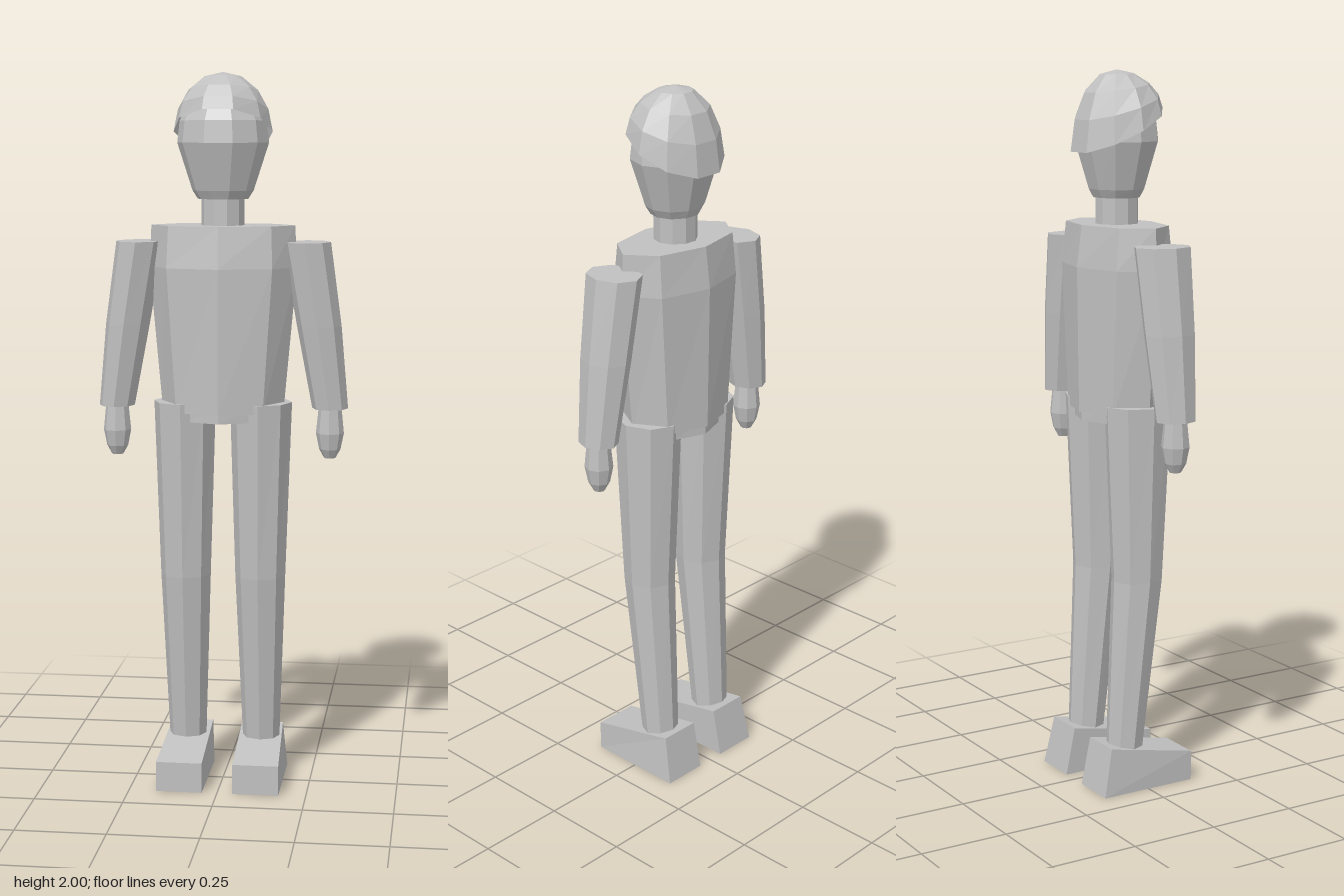
import * as THREE from 'three';

const grey = new THREE.MeshStandardMaterial({ color: 0xc0c0c0, flatShading: true, side: THREE.DoubleSide });
grey.name = 'plain grey';

// Closed faceted body through elliptical rings, listed bottom to top:
// [y, radiusX, radiusZ, centreX, centreZ, tilt of y per unit z]
function loft(rings, sides, capBottom = true) {
  const pos = [];
  const point = ([y, rx, rz, cx = 0, cz = 0, tilt = 0], i) => {
    const a = (i / sides) * Math.PI * 2;
    const z = cz + rz * Math.sin(a);
    return [cx + rx * Math.cos(a), y + tilt * z, z];
  };
  const centre = ([y, , , cx = 0, cz = 0]) => [cx, y, cz];
  const first = rings[0], last = rings[rings.length - 1];
  for (let i = 0; i < sides; i++) {
    for (let k = 0; k < rings.length - 1; k++) {
      const a = point(rings[k], i), b = point(rings[k], i + 1);
      const c = point(rings[k + 1], i), d = point(rings[k + 1], i + 1);
      pos.push(...a, ...c, ...b, ...b, ...c, ...d);
    }
    pos.push(...centre(last), ...point(last, i + 1), ...point(last, i));
    if (capBottom) pos.push(...centre(first), ...point(first, i), ...point(first, i + 1));
  }
  const g = new THREE.BufferGeometry();
  g.setAttribute('position', new THREE.Float32BufferAttribute(pos, 3));
  g.computeVertexNormals();
  return g;
}

// Wedge shoe: a box with its top sloped down to the toe and the heel drawn in
function shoe(side) {
  const g = new THREE.BoxGeometry(0.13, 1, 0.286).toNonIndexed();
  const p = g.attributes.position;
  for (let i = 0; i < p.count; i++) {
    const top = p.getY(i) > 0, heel = p.getZ(i) < 0;
    let x = 0.108 + p.getX(i) * side * side, z = p.getZ(i);
    x = side * (0.108 + side * p.getX(i));
    if (top && heel) {
      z = -0.115;
      if (Math.abs(x) > 0.108) x = side * 0.162;
    }
    p.setXYZ(i, x, top ? (heel ? 0.135 : 0.085) : 0, z);
  }
  g.computeVertexNormals();
  return g;
}

export function createModel() {
  const model = new THREE.Group();
  model.name = 'figure';
  const add = (name, geometry) => {
    const m = new THREE.Mesh(geometry, grey);
    m.name = name;
    model.add(m);
  };

  // Trunk
  add('torso', loft([[1.07, 0.17, 0.122], [1.47, 0.206, 0.127], [1.585, 0.2, 0.112]], 8));
  add('pelvis', loft([[1.045, 0.134, 0.115], [1.09, 0.14, 0.115]], 8));

  // Head and neck
  add('neck', loft([[1.56, 0.06, 0.06], [1.69, 0.06, 0.06]], 10));
  add('head', loft([
    [1.657, 0.07, 0.065], [1.68, 0.085, 0.077], [1.81, 0.127, 0.115],
    [1.87, 0.12, 0.108], [1.94, 0.08, 0.075],
  ], 10));

  // Dome cap with a rim that dips toward the back
  const cap = [[1, 1], [0.62, 0.91], [0.3, 0.7], [0.07, 0.37]].map(([drop, r]) =>
    [2 - 0.16 * drop, 0.137 * r, 0.127 * r, 0, 0, 0.49 * drop]);
  cap.push([2, 0.002, 0.002]);
  add('cap', loft(cap, 10, false));

  // Limbs on both sides
  for (const s of [1, -1]) {
    const name = s > 0 ? 'left' : 'right';
    add(name + 'Arm', loft([
      [1.08, 0.05, 0.058, s * 0.3], [1.31, 0.062, 0.074, s * 0.268], [1.54, 0.067, 0.083, s * 0.232],
    ], 8));
    add(name + 'Hand', loft([
      [0.94, 0.016, 0.016, s * 0.3], [0.965, 0.03, 0.03, s * 0.3],
      [1.01, 0.039, 0.039, s * 0.3], [1.09, 0.031, 0.031, s * 0.3],
    ], 8));
    add(name + 'Leg', loft([
      [0.12, 0.053, 0.052, s * 0.106, -0.04], [0.6, 0.071, 0.073, s * 0.106, 0],
      [1.095, 0.087, 0.098, s * 0.107, 0.002],
    ], 8));
    add(name + 'Shoe', shoe(s));
  }
  return model;
}
